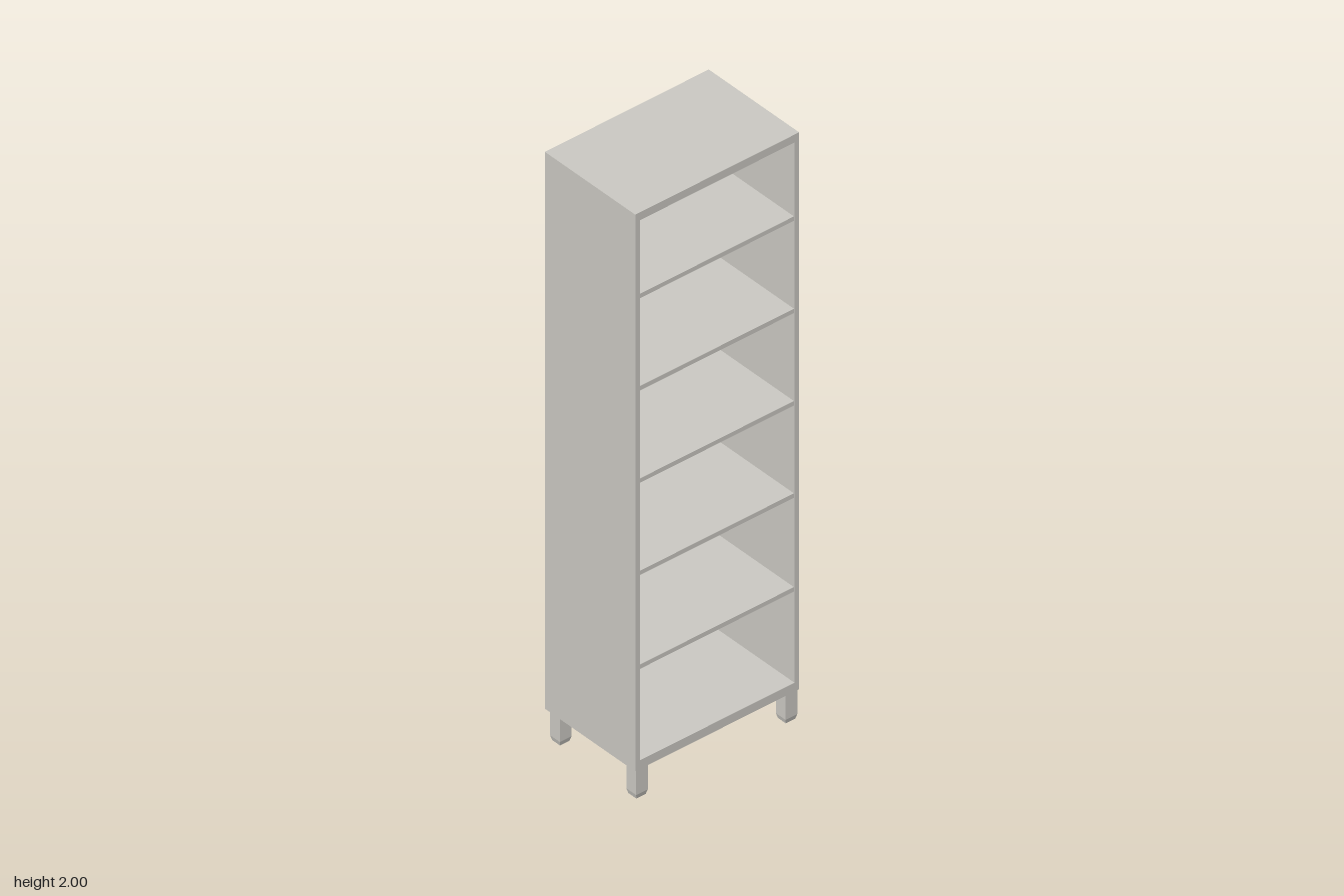
import * as THREE from 'three';

export function createModel() {
  const group = new THREE.Group();
  const paint = new THREE.MeshStandardMaterial({ color: 0xcccac4 });
  paint.name = 'warm grey paint';
  const black = new THREE.MeshStandardMaterial({ color: 0x0c0c0c });
  black.name = 'black plastic';

  // Box given by its lower and upper corners
  function box(name, x0, x1, y0, y1, z0, z1, material = paint, parent = group) {
    const mesh = new THREE.Mesh(new THREE.BoxGeometry(x1 - x0, y1 - y0, z1 - z0), material);
    mesh.position.set((x0 + x1) / 2, (y0 + y1) / 2, (z0 + z1) / 2);
    mesh.name = name;
    parent.add(mesh);
    return mesh;
  }

  const W = 0.296, inner = 0.279;          // half widths outside and inside
  const back = -0.188, front = 0.196;
  const base = 0.1, floor = 0.13, ceiling = 1.973;

  // Carcass: two full-height sides, with top and bottom between them
  box('rightSide', -W, -inner, base, 2, back, front);
  box('leftSide', inner, W, base, 2, back, front);
  box('topPanel', -inner, inner, ceiling, 2, back, front);
  box('bottomPanel', -inner, inner, base, floor, back, front);

  // Back panel set slightly into the frame
  box('backPanel', -inner, inner, floor, ceiling, -0.182, -0.174);

  // Five shelves
  for (const y of [0.44, 0.76, 1.075, 1.39, 1.705]) {
    box('shelf', -inner, inner, y, y + 0.015, -0.174, 0.194);
  }

  // Square legs with a tapered foot
  const half = 0.021;
  for (const x of [-0.27, 0.27]) {
    for (const z of [-0.151, 0.173]) {
      const leg = new THREE.Group();
      leg.name = 'leg';
      box('legPost', -half, half, 0.016, base, -half, half, paint, leg);
      const foot = new THREE.Mesh(
        new THREE.CylinderGeometry(half * Math.SQRT2, 0.017 * Math.SQRT2, 0.016, 4).toNonIndexed(),
        paint);
      foot.geometry.rotateY(Math.PI / 4);
      foot.geometry.computeVertexNormals();
      foot.position.y = 0.008;
      foot.name = 'foot';
      leg.add(foot);
      leg.position.set(x, 0, z);
      group.add(leg);
    }
  }

  // Wall fixings in the upper back corners
  for (const x of [-0.255, 0.253]) {
    const fixing = new THREE.Group();
    fixing.name = 'wallFixing';
    box('fixingPlate', -0.014, 0.014, -0.011, 0.013, -0.196, -0.182, black, fixing);
    const knob = new THREE.Mesh(new THREE.CylinderGeometry(0.011, 0.013, 0.006, 16), black);
    knob.rotation.x = -Math.PI / 2;
    knob.position.z = -0.197;
    knob.name = 'fixingKnob';
    fixing.add(knob);
    fixing.position.set(x, 1.944, 0);
    group.add(fixing);
  }

  return group;
}
